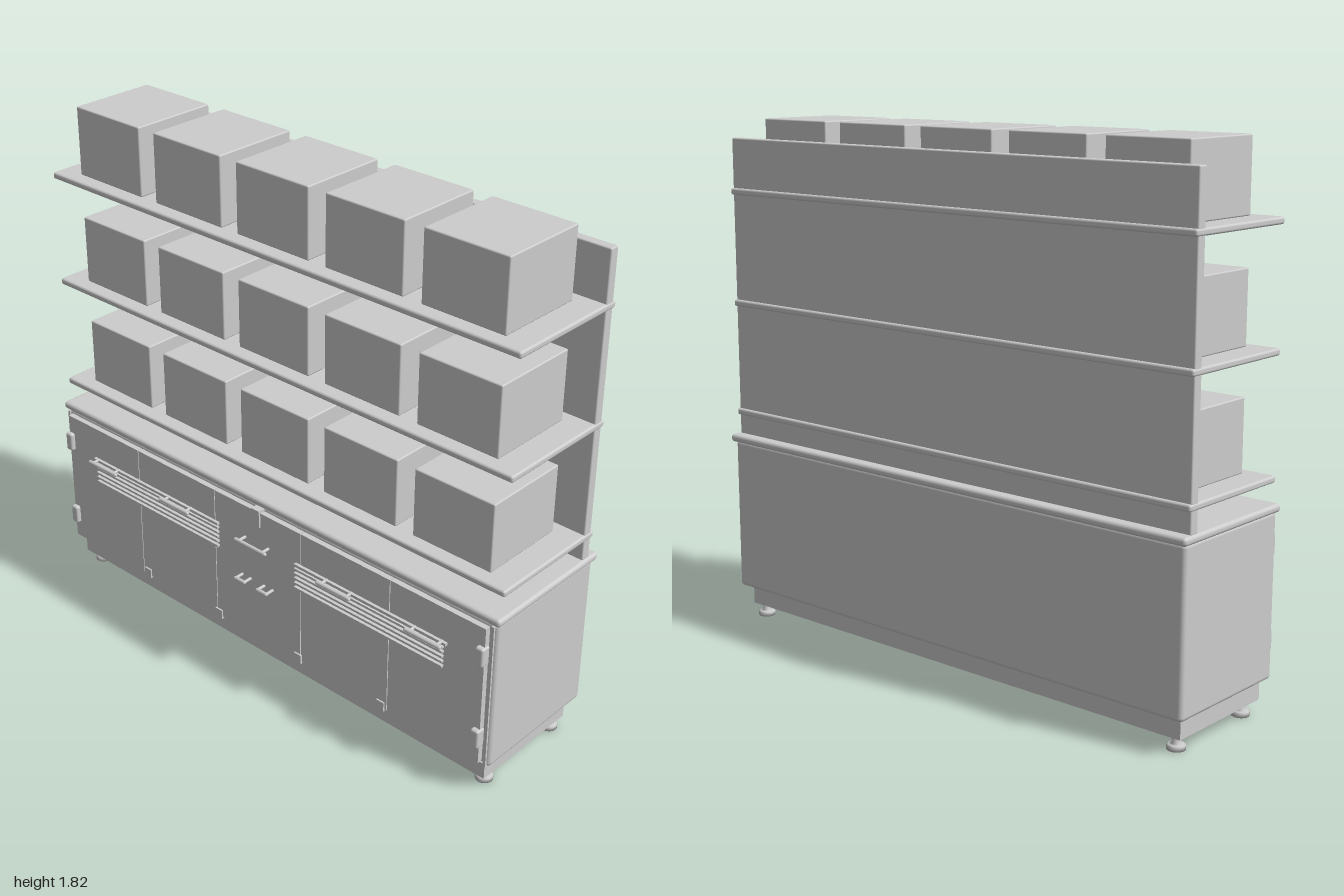
import * as THREE from 'three';
import { RoundedBoxGeometry } from 'three/addons/geometries/RoundedBoxGeometry.js';

export function createModel() {
  const root = new THREE.Group();
  const grey = new THREE.MeshStandardMaterial({ color: 0xcccccc });
  grey.name = 'light grey';

  const add = (name, geometry, x, y, z) => {
    const mesh = new THREE.Mesh(geometry, grey);
    mesh.name = name;
    mesh.position.set(x, y, z);
    root.add(mesh);
    return mesh;
  };
  // Box given by its limits, with an optional edge radius
  const box = (name, x0, x1, y0, y1, z0, z1, r = 0) => {
    const w = x1 - x0, h = y1 - y0, d = z1 - z0;
    const g = r ? new RoundedBoxGeometry(w, h, d, 3, r) : new THREE.BoxGeometry(w, h, d);
    return add(name, g, (x0 + x1) / 2, (y0 + y1) / 2, (z0 + z1) / 2);
  };

  // Cabinet, plinth and worktop
  box('cabinetBody', -0.99, 0.99, 0.117, 0.668, -0.27, 0.22, 0.015);
  box('plinth', -0.96, 0.96, 0.045, 0.12, -0.23, 0.2);
  box('worktop', -1, 1, 0.663, 0.691, -0.285, 0.228, 0.012);

  // Adjustable feet
  const footProfile = [[0, 0], [0.03, 0], [0.03, 0.014], [0.024, 0.018], [0.014, 0.019], [0.014, 0.046]]
    .map(([r, y]) => new THREE.Vector2(r, y));
  for (const x of [-0.925, 0.925]) {
    for (const z of [-0.2, 0.15]) add('foot', new THREE.LatheGeometry(footProfile, 20), x, 0, z);
  }

  // Front doors separated by thin seams
  const seams = [-0.963, -0.585, -0.2, 0.2, 0.585, 0.963];
  for (let i = 0; i < 5; i++) {
    box('doorPanel', seams[i] + 0.0015, seams[i + 1] - 0.0015, 0.136, 0.652, 0.215, 0.24);
  }
  // Narrow frame standing around the doors
  for (const s of [-1, 1]) {
    box('frameSide', s * 0.975 - 0.005, s * 0.975 + 0.005, 0.125, 0.66, 0.215, 0.226);
  }
  box('frameBottom', -0.98, 0.98, 0.122, 0.131, 0.215, 0.226);

  // Latches: one at the top centre, the rest along the bottom
  box('topLatch', -0.018, 0.018, 0.597, 0.662, 0.22, 0.247);
  for (const x of [-0.56, -0.19, 0.19, 0.56]) {
    box('bottomLatch', x - 0.016, x + 0.016, 0.13, 0.165, 0.22, 0.246);
  }

  // Hinges on the outer door edges
  for (const s of [-1, 1]) {
    for (const y of [0.55, 0.235]) {
      box('hinge', s * 0.951 - 0.016, s * 0.951 + 0.016, y - 0.035, y + 0.035, 0.22, 0.257, 0.008);
    }
  }

  // Ventilation slats with a longer rail above
  for (const s of [-1, 1]) {
    for (let i = 0; i < 5; i++) {
      const y = 0.437 + i * 0.0185;
      box('ventSlat', s * 0.494 - 0.314, s * 0.494 + 0.314, y - 0.004, y + 0.004, 0.235, 0.251);
    }
    box('ventRail', s * 0.5 - 0.32, s * 0.5 + 0.32, 0.522, 0.532, 0.235, 0.251);
  }

  // Pull handles: a bar on two posts
  const handle = (x, y, length, r) => {
    const bar = add('handleBar', new THREE.CapsuleGeometry(r, length - 2 * r, 4, 10), x, y, 0.273);
    bar.rotation.z = Math.PI / 2;
    for (const s of [-1, 1]) {
      const post = add('handlePost', new THREE.CylinderGeometry(r * 0.8, r * 0.8, 0.038, 10), x + s * length * 0.36, y, 0.254);
      post.rotation.x = Math.PI / 2;
    }
  };
  for (let i = -2; i <= 2; i++) handle(i * 0.373, 0.528, 0.15, 0.007);
  for (const s of [-1, 1]) handle(s * 0.052, 0.368, 0.055, 0.007);

  // Back panel, shelves and stored boxes
  box('backPanel', -0.99, 0.99, 0.688, 1.752, -0.245, -0.21, 0.005);
  for (let row = 0; row < 3; row++) {
    const y = 0.76 + row * 0.397;
    box('shelf', -0.993, 0.993, y, y + 0.023, -0.256, 0.203, 0.008);
    for (let col = -2; col <= 2; col++) {
      const x = col * 0.375;
      box('storageBox', x - 0.153, x + 0.153, y + 0.023, y + 0.265, -0.165, 0.153, 0.005);
    }
  }
  return root;
}
